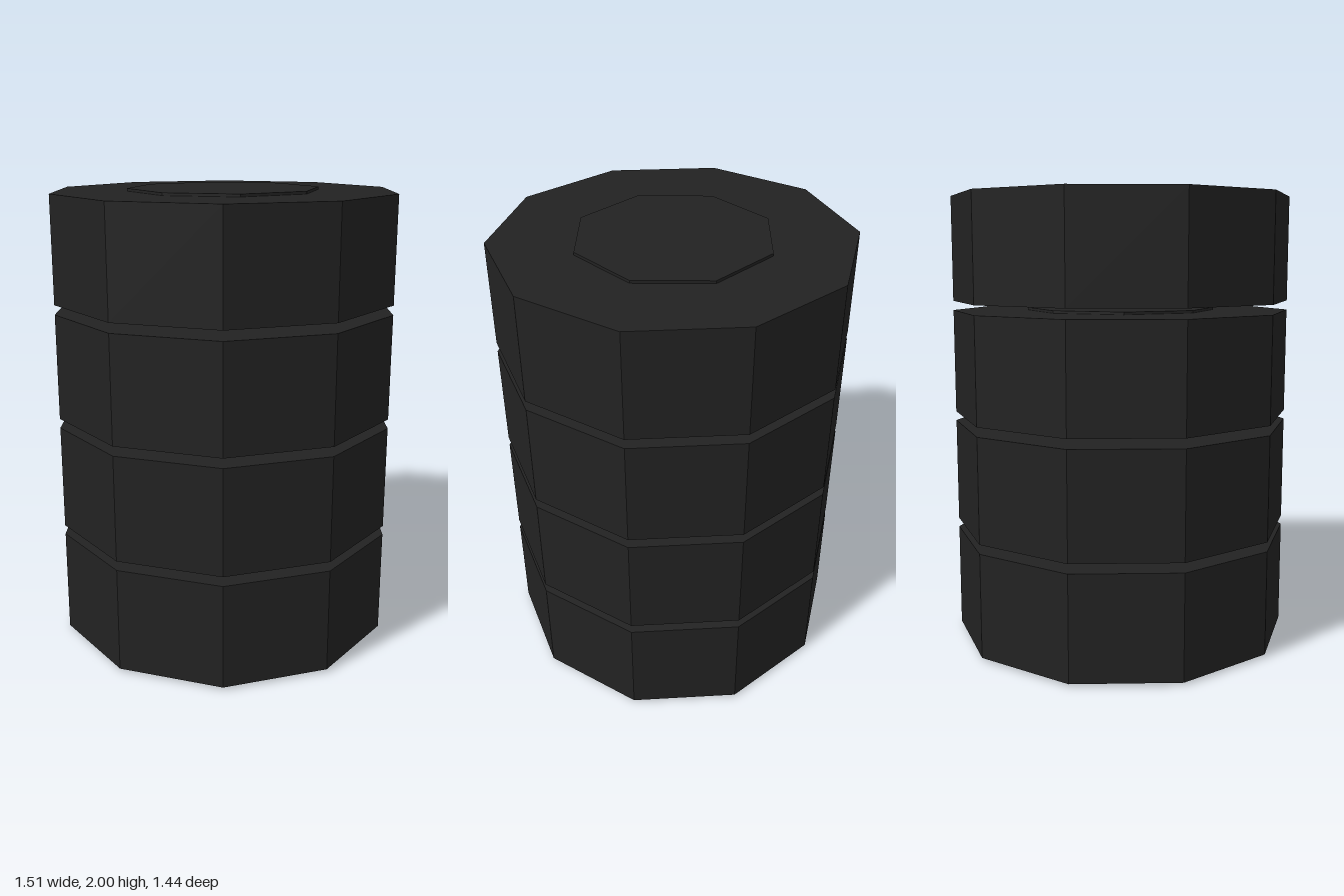
import * as THREE from 'three';

const COUNT = 4;
const HUB_HEIGHT = 0.487;
const TYRE_HEIGHT = 0.463;
const PITCH = (2 - HUB_HEIGHT) / (COUNT - 1);

export function createModel() {
  const rubber = new THREE.MeshStandardMaterial({ color: 0x222222, flatShading: true });
  rubber.name = 'black rubber';

  // Prisms with a corner pointing along +x
  const prism = (radius, height, sides) =>
    new THREE.CylinderGeometry(radius, radius, height, sides, 1, false, Math.PI / 2);
  const tyreGeometry = prism(0.757, TYRE_HEIGHT, 10);
  const hubGeometry = prism(0.42, HUB_HEIGHT, 8);

  const model = new THREE.Group();
  model.name = 'tyreStack';

  // Each wheel is a ten-sided tyre with an eight-sided hub standing slightly proud
  for (let i = 0; i < COUNT; i++) {
    const wheel = new THREE.Group();
    wheel.name = `wheel${i + 1}`;
    wheel.position.y = HUB_HEIGHT / 2 + i * PITCH;

    const tyre = new THREE.Mesh(tyreGeometry, rubber);
    tyre.name = 'tyre';
    const hub = new THREE.Mesh(hubGeometry, rubber);
    hub.name = 'hub';

    wheel.add(tyre, hub);
    model.add(wheel);
  }
  return model;
}
